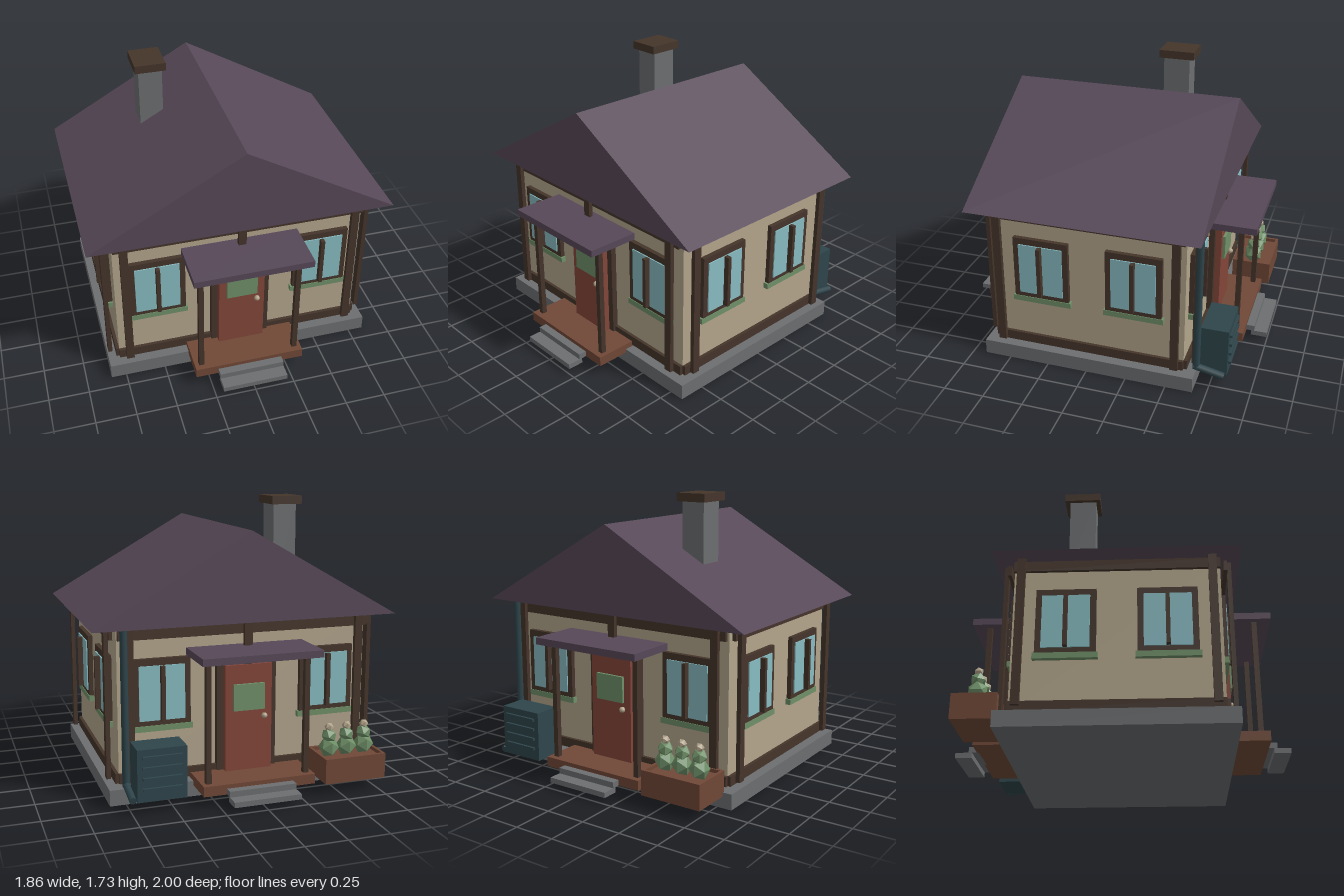
import * as THREE from 'three';

const mat = (name, color) => {
  const m = new THREE.MeshStandardMaterial({ color });
  m.name = name;
  return m;
};

export function createModel() {
  const M = {
    plaster: mat('plaster', 0xb3a58c),
    timber: mat('dark timber', 0x45352b),
    roof: mat('purple roofing', 0x574858),
    door: mat('red door', 0x83463a),
    green: mat('sage green', 0x6f9068),
    glass: mat('window glass', 0x88bcc2),
    stone: mat('grey stone', 0x6c6e70),
    brown: mat('brown wood', 0x704836),
    teal: mat('dark teal metal', 0x2e454b),
  };
  const house = new THREE.Group();
  house.name = 'cottage';

  const add = (parent, name, geometry, material, x = 0, y = 0, z = 0) => {
    const mesh = new THREE.Mesh(geometry, material);
    mesh.name = name;
    mesh.position.set(x, y, z);
    parent.add(mesh);
    return mesh;
  };
  // Box given by its lower and upper corner
  const box = (parent, name, material, [x0, y0, z0], [x1, y1, z1]) =>
    add(parent, name, new THREE.BoxGeometry(x1 - x0, y1 - y0, z1 - z0), material,
      (x0 + x1) / 2, (y0 + y1) / 2, (z0 + z1) / 2);
  const group = (parent, name, angle = 0) => {
    const g = new THREE.Group();
    g.name = name;
    g.rotation.y = angle;
    parent.add(g);
    return g;
  };

  // Base and walls
  box(house, 'foundation', M.stone, [-0.845, 0, -0.667], [0.845, 0.095, 0.667]);
  box(house, 'walls', M.plaster, [-0.775, 0.095, -0.595], [0.775, 1.03, 0.595]);

  // Solid gable roof with its ridge along z
  const gable = new THREE.Shape([
    new THREE.Vector2(-0.932, 1.03), new THREE.Vector2(0.932, 1.03), new THREE.Vector2(0, 1.56)]);
  add(house, 'roof', new THREE.ExtrudeGeometry(gable, { depth: 1.416, bevelEnabled: false }),
    M.roof, 0, 0, -0.708);

  // Chimney
  box(house, 'chimney', M.stone, [-0.43, 1.2, -0.323], [-0.283, 1.68, -0.157]);
  box(house, 'chimneyCap', M.timber, [-0.455, 1.68, -0.355], [-0.262, 1.73, -0.13]);

  // Window on a wall plane at distance d
  const addWindow = (wall, x, d) => {
    const w = group(wall, 'window');
    w.position.set(x, 0, d);
    box(w, 'windowFrame', M.timber, [-0.172, 0.44, 0], [0.172, 0.84, 0.028]);
    box(w, 'windowGlass', M.glass, [-0.137, 0.475, 0.028], [0.137, 0.8, 0.035]);
    box(w, 'windowBar', M.timber, [-0.012, 0.475, 0.035], [0.012, 0.8, 0.068]);
    box(w, 'windowSill', M.green, [-0.184, 0.41, 0], [0.184, 0.445, 0.032]);
  };

  // Timber framing of one wall: posts stand proud of the beams
  const addFraming = (wall, halfWidth, d, postXs) => {
    box(wall, 'bottomBeam', M.timber, [-halfWidth, 0.105, d], [halfWidth, 0.165, d + 0.02]);
    box(wall, 'topBeam', M.timber, [-halfWidth, 0.957, d + 0.02], [halfWidth, 1.02, d + 0.042]);
    for (const x of postXs)
      box(wall, 'wallPost', M.timber, [x - 0.024, 0.13, d + 0.04], [x + 0.024, 1.03, d + 0.066]);
  };

  // Door with frame, panel and knob
  const addDoor = (wall, d) => {
    const g = group(wall, 'doorway');
    g.position.z = d;
    box(g, 'doorFrame', M.timber, [-0.185, 0.13, 0], [0.185, 0.825, 0.035]);
    box(g, 'door', M.door, [-0.145, 0.13, 0.03], [0.145, 0.775, 0.072]);
    box(g, 'doorPanel', M.green, [-0.098, 0.5, 0.072], [0.096, 0.66, 0.088]);
    add(g, 'doorKnob', new THREE.IcosahedronGeometry(0.018, 1), M.plaster, 0.094, 0.46, 0.088);
  };

  // Porch with two steps and a flat canopy on two posts
  const addPorch = (wall) => {
    const g = group(wall, 'porch');
    box(g, 'porchFloor', M.brown, [-0.345, 0.07, 0.6], [0.345, 0.13, 0.87]);
    box(g, 'upperStep', M.stone, [-0.205, 0.07, 0.82], [0.205, 0.105, 0.92]);
    box(g, 'lowerStep', M.stone, [-0.205, 0.038, 0.9], [0.205, 0.07, 1]);
    for (const x of [-0.302, 0.302])
      box(g, 'porchPost', M.timber, [x - 0.016, 0.13, 0.802], [x + 0.016, 0.845, 0.834]);
    box(g, 'porchRoof', M.roof, [-0.363, 0.845, 0.597], [0.363, 0.887, 0.917]);
  };

  // Front and back walls
  for (const [name, angle] of [['frontWall', 0], ['backWall', Math.PI]]) {
    const wall = group(house, name, angle);
    addFraming(wall, 0.775, 0.595, [-0.714, 0, 0.714]);
    addWindow(wall, -0.517, 0.595);
    addWindow(wall, 0.517, 0.595);
    addDoor(wall, 0.595);
    addPorch(wall);
  }
  // Side walls
  for (const [name, angle] of [['leftWall', Math.PI / 2], ['rightWall', -Math.PI / 2]]) {
    const wall = group(house, name, angle);
    addFraming(wall, 0.595, 0.775, [-0.548, 0.548]);
    addWindow(wall, -0.288, 0.775);
    addWindow(wall, 0.288, 0.775);
  }

  // Planter with raised rim and three flowering plants
  const planter = group(house, 'planter');
  box(planter, 'planterSoil', M.brown, [-0.77, 0.07, -0.895], [-0.41, 0.2, -0.67]);
  for (const z of [-0.91, -0.67])
    box(planter, 'planterLongSide', M.brown, [-0.787, 0.07, z], [-0.397, 0.222, z + 0.018]);
  for (const x of [-0.787, -0.415])
    box(planter, 'planterEnd', M.brown, [x, 0.07, -0.892], [x + 0.018, 0.222, -0.67]);
  for (const x of [-0.703, -0.588, -0.473]) {
    const plant = group(planter, 'plant');
    plant.position.set(x, 0, -0.78);
    const lower = add(plant, 'plantBody', new THREE.IcosahedronGeometry(0.062, 0), M.green, 0, 0.255, 0);
    lower.scale.y = 1.1;
    const upper = add(plant, 'plantTop', new THREE.IcosahedronGeometry(0.048, 0), M.green, 0, 0.325, 0);
    upper.rotation.y = 0.6;
    add(plant, 'flower', new THREE.IcosahedronGeometry(0.028, 0), M.plaster, 0, 0.378, 0);
  }

  // Outdoor metal cabinet with slats
  const cabinet = group(house, 'cabinet');
  box(cabinet, 'cabinetBody', M.teal, [0.435, 0.075, -0.848], [0.725, 0.383, -0.68]);
  for (let i = 0; i < 4; i++) {
    const y = 0.15 + i * 0.062;
    box(cabinet, 'cabinetSlat', M.teal, [0.465, y - 0.008, -0.864], [0.695, y + 0.008, -0.846]);
  }

  // Drainpipe with an outlet kicked away from the wall
  const pipe = group(house, 'drainpipe');
  const pipePart = (name, a, b) => {
    const dir = b.clone().sub(a);
    const mesh = add(pipe, name, new THREE.CylinderGeometry(0.022, 0.022, dir.length(), 8), M.teal);
    mesh.position.copy(a).add(b).multiplyScalar(0.5);
    mesh.quaternion.setFromUnitVectors(new THREE.Vector3(0, 1, 0), dir.normalize());
  };
  pipePart('downpipe', new THREE.Vector3(0.748, 1.035, -0.667), new THREE.Vector3(0.748, 0.11, -0.667));
  pipePart('pipeOutlet', new THREE.Vector3(0.748, 0.125, -0.65), new THREE.Vector3(0.748, 0.085, -0.835));

  return house;
}
